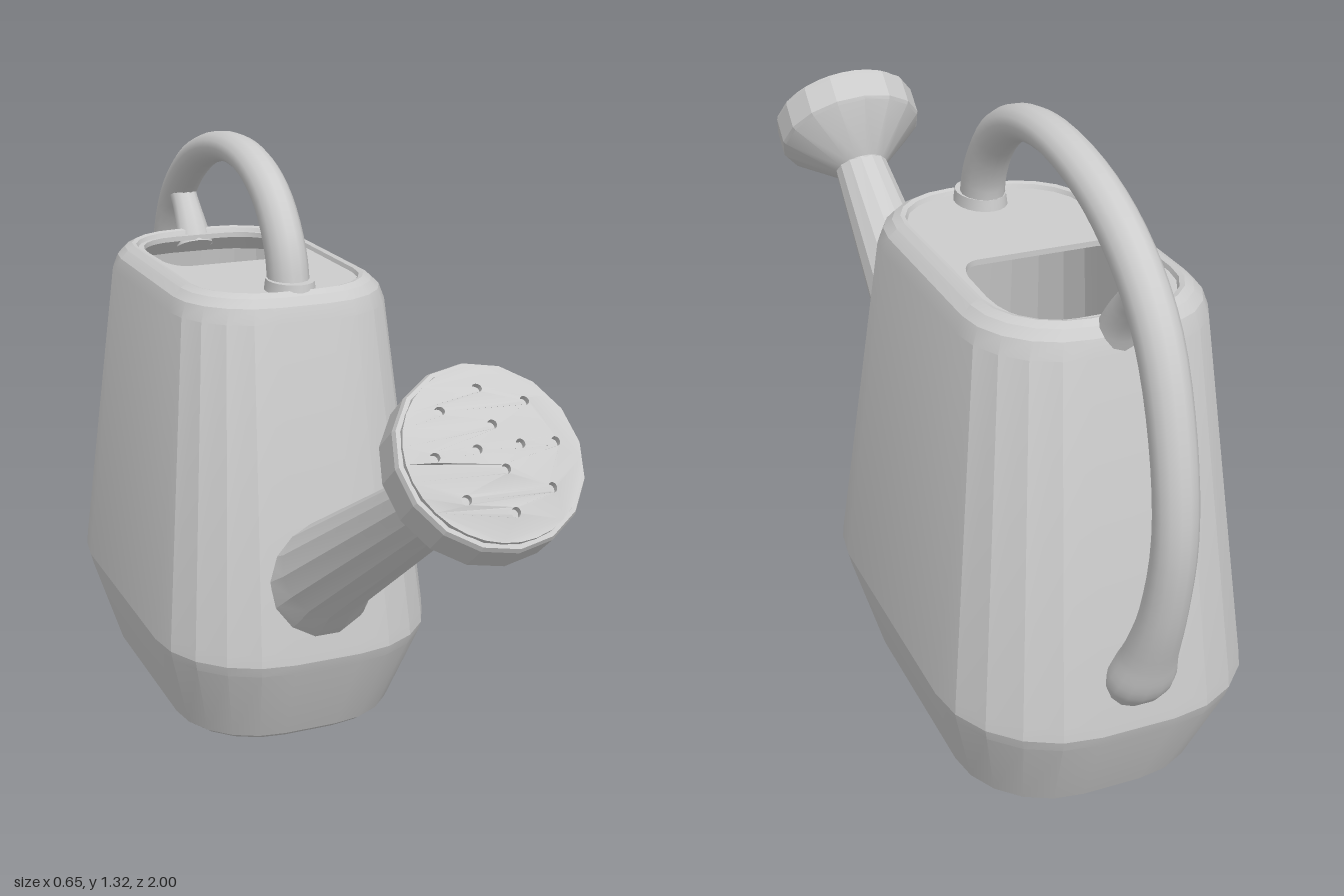
import * as THREE from 'three';
import { toCreasedNormals } from 'three/addons/utils/BufferGeometryUtils.js';

const grey = new THREE.MeshStandardMaterial({ color: 0xcccccc, side: THREE.DoubleSide });
const CZ = -0.347; // centre of the tank along z

function part(name, geometry, crease) {
  const mesh = new THREE.Mesh(toCreasedNormals(geometry, crease), grey);
  mesh.name = name;
  return mesh;
}

// Skin a list of closed rings, all with the same number of points
function loft(rings) {
  const n = rings[0].length, pos = [], index = [];
  rings.forEach(ring => ring.forEach(p => pos.push(p.x, p.y, p.z)));
  for (let i = 0; i < rings.length - 1; i++) {
    for (let j = 0; j < n; j++) {
      const a = i * n + j, b = i * n + (j + 1) % n;
      index.push(a, a + n, b, b, a + n, b + n);
    }
  }
  const g = new THREE.BufferGeometry();
  g.setAttribute('position', new THREE.Float32BufferAttribute(pos, 3));
  g.setIndex(index);
  return g;
}

// Rounded rectangle outline: half width, half length, height
function outline([hx, hz, y], segs = 5) {
  const r = hx * 0.76, ring = [];
  for (let q = 0; q < 4; q++) {
    const sx = q === 0 || q === 3 ? 1 : -1, sz = q < 2 ? 1 : -1;
    for (let k = 0; k <= segs; k++) {
      const a = (q + k / segs) * Math.PI / 2;
      ring.push(new THREE.Vector3(sx * (hx - r) + r * Math.cos(a), y, CZ + sz * (hz - r) + r * Math.sin(a)));
    }
  }
  return ring;
}

// Sweep an ellipse along [z, y, half width in x, half thickness] stations
function sweep(stations, samples, sides) {
  const path = new THREE.CatmullRomCurve3(stations.map(s => new THREE.Vector3(0, s[1], s[0])));
  const size = new THREE.CatmullRomCurve3(stations.map(s => new THREE.Vector3(s[2], s[3], 0)), false, 'catmullrom');
  const X = new THREE.Vector3(1, 0, 0), rings = [];
  for (let i = 0; i <= samples; i++) {
    const p = path.getPoint(i / samples), s = size.getPoint(i / samples);
    const N = X.clone().cross(path.getTangent(i / samples));
    rings.push(Array.from({ length: sides }, (_, j) => {
      const a = (j / sides) * Math.PI * 2;
      return p.clone().addScaledVector(X, s.x * Math.cos(a)).addScaledVector(N, s.y * Math.sin(a));
    }));
  }
  return loft(rings);
}

export function createModel() {
  const model = new THREE.Group();
  model.name = 'wateringCan';

  // Tank: recessed base, flared lower band, tapering wall, rolled rim
  model.add(part('tank', loft([
    [0.01, 0.16, 0.03], [0.2, 0.345, 0.03], [0.21, 0.36, 0], [0.25, 0.405, 0], [0.264, 0.42, 0.012],
    [0.321, 0.513, 0.21], [0.327, 0.521, 0.235], [0.325, 0.518, 0.265],
    [0.252, 0.395, 0.985], [0.24, 0.383, 1.018], [0.222, 0.368, 1.036], [0.205, 0.353, 1.045],
    [0.196, 0.343, 1.042], [0.19, 0.335, 1.025],
  ].map(s => outline(s))), 0.3));

  // Inner wall and floor
  model.add(part('tankInterior', loft([
    [0.19, 0.335, 1.025], [0.235, 0.375, 0.98], [0.31, 0.5, 0.24], [0.25, 0.4, 0.05], [0.01, 0.16, 0.05],
  ].map(s => outline(s))), 0.3));

  // Top plate with the filling opening towards the back
  const lid = new THREE.Shape(outline([0.194, 0.34, 0]).map(p => new THREE.Vector2(p.x, -p.z)));
  const opening = new THREE.Path();
  opening.moveTo(-0.13, 0.35);
  opening.lineTo(0.13, 0.35);
  opening.quadraticCurveTo(0.165, 0.355, 0.175, 0.42);
  opening.lineTo(0.178, 0.52);
  opening.bezierCurveTo(0.178, 0.61, 0.14, 0.667, 0.06, 0.667);
  opening.lineTo(-0.06, 0.667);
  opening.bezierCurveTo(-0.14, 0.667, -0.178, 0.61, -0.178, 0.52);
  opening.lineTo(-0.175, 0.42);
  opening.quadraticCurveTo(-0.165, 0.355, -0.13, 0.35);
  lid.holes.push(opening);
  const plate = new THREE.ExtrudeGeometry(lid, { depth: 0.012, bevelEnabled: false, curveSegments: 6 });
  plate.rotateX(-Math.PI / 2).translate(0, 1.021, 0);
  model.add(part('topPlate', plate, 0.4));

  // Handle: arch over the top, then down the back to a flared foot
  model.add(part('handle', sweep([
    [-0.06, 1.02, 0.046, 0.057], [-0.08, 1.11, 0.045, 0.053], [-0.15, 1.208, 0.044, 0.046],
    [-0.26, 1.27, 0.044, 0.038], [-0.41, 1.29, 0.044, 0.035], [-0.6, 1.256, 0.044, 0.038],
    [-0.75, 1.18, 0.044, 0.044], [-0.86, 1.07, 0.044, 0.044], [-0.932, 0.9, 0.043, 0.041],
    [-0.96, 0.72, 0.043, 0.04], [-0.935, 0.55, 0.046, 0.042], [-0.893, 0.43, 0.056, 0.047],
    [-0.862, 0.36, 0.07, 0.054], [-0.83, 0.315, 0.06, 0.045],
  ], 52, 14), 0.6));
  model.add(part('handleStrut', sweep([
    [-0.7, 1.0, 0.047, 0.042], [-0.725, 1.045, 0.04, 0.037], [-0.77, 1.1, 0.034, 0.034], [-0.81, 1.14, 0.036, 0.04],
  ], 9, 12), 0.6));

  // Collar under the front of the handle
  const collar = new THREE.CylinderGeometry(0.052, 0.056, 0.03, 20);
  collar.scale(1, 1, 1.3).translate(0, 1.042, -0.055);
  model.add(part('handleCollar', collar, 0.5));

  // Spout with a flared root
  model.add(part('spout', sweep([
    [0.08, 0.392, 0.135, 0.135], [0.13, 0.425, 0.126, 0.126], [0.175, 0.455, 0.11, 0.108], [0.755, 0.842, 0.066, 0.062],
  ], 3, 14), 0.3));

  // Sprinkler head: cone, band, and a floor behind the perforated face
  const rose = new THREE.Group();
  rose.name = 'sprinklerHead';
  rose.position.set(0, 0.9, 0.82);
  rose.rotation.x = 0.85;
  const profile = [[0.06, -0.115], [0.066, -0.1], [0.176, -0.004], [0.181, 0.004], [0.181, 0.07], [0.177, 0.08],
    [0.169, 0.081], [0.166, 0.076], [0.1, 0.092], [0, 0.103]].map(p => new THREE.Vector2(...p));
  rose.add(part('headShell', new THREE.LatheGeometry(profile, 16), 0.3));

  // Domed face with one ring of four holes and one of eight
  const disc = new THREE.Shape().absarc(0, 0, 0.167, 0, Math.PI * 2);
  for (const [count, radius] of [[4, 0.042], [8, 0.118]]) {
    for (let i = 0; i < count; i++) {
      const a = (i / count) * Math.PI * 2;
      disc.holes.push(new THREE.Path().absarc(radius * Math.cos(a), radius * Math.sin(a), 0.009, 0, Math.PI * 2, true));
    }
  }
  const face = new THREE.ExtrudeGeometry(disc, { depth: 0.012, bevelEnabled: false, curveSegments: 16 });
  face.rotateX(-Math.PI / 2);
  const p = face.attributes.position;
  for (let i = 0; i < p.count; i++) {
    const r = Math.hypot(p.getX(i), p.getZ(i)) / 0.167;
    p.setY(i, p.getY(i) + 0.076 + 0.03 * (1 - r * r));
  }
  rose.add(part('headFace', face, 0.6));
  model.add(rose);

  return model;
}
